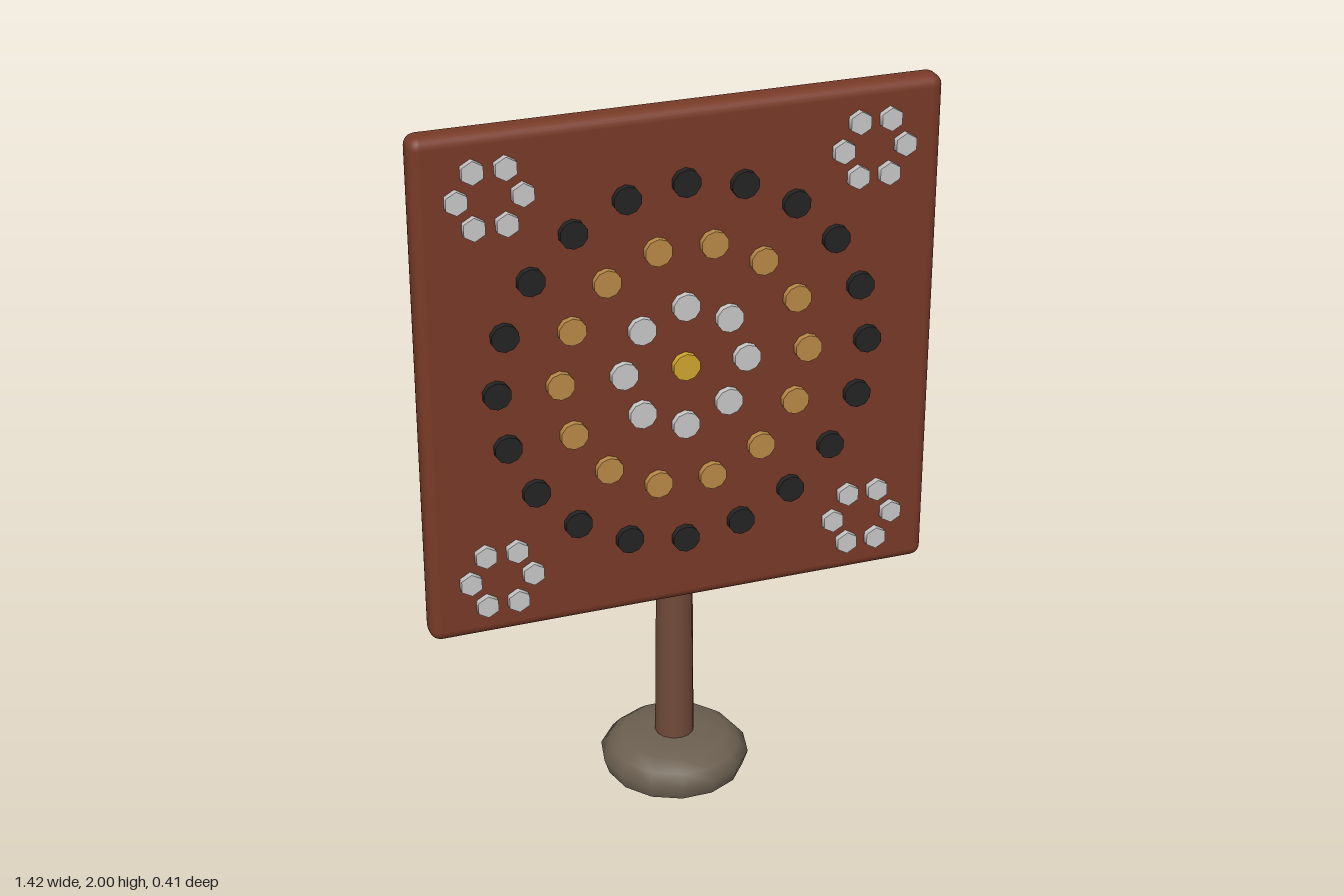
import * as THREE from 'three';
import { RoundedBoxGeometry } from 'three/addons/geometries/RoundedBoxGeometry.js';

const material = (name, color) => {
  const m = new THREE.MeshStandardMaterial({ color });
  m.name = name;
  return m;
};

export function createModel() {
  const model = new THREE.Group();
  model.name = 'studdedBoardOnStand';

  const redWood = material('redWood', 0x783a27);
  const brownWood = material('brownWood', 0x704a39);
  const stone = material('stone', 0x6b5f50);
  const gold = material('gold', 0xd0a52e);
  const silver = material('silver', 0xc8c8c8);
  const bronze = material('bronze', 0xb98846);
  const black = material('black', 0x242424);

  const add = (name, geometry, mat, x = 0, y = 0, z = 0, parent = model) => {
    const mesh = new THREE.Mesh(geometry, mat);
    mesh.name = name;
    mesh.position.set(x, y, z);
    parent.add(mesh);
    return mesh;
  };

  // Fourteen-sided foot with a domed shoulder and a flat underside
  const profile = [[0.195, 0], [0.21, 0.045], [0.185, 0.075], [0.15, 0.102], [0.08, 0.109], [0, 0.11]]
    .map(([r, y]) => new THREE.Vector2(r, y));
  add('foot', new THREE.LatheGeometry(profile, 14, Math.PI / 2), stone);
  const underside = new THREE.CircleGeometry(0.195, 14).rotateX(Math.PI / 2);
  add('footUnderside', underside, stone);

  // Tapered post and the ball on top of it
  add('post', new THREE.CylinderGeometry(0.045, 0.055, 1.2, 14), brownWood, 0, 0.7, 0);
  add('ball', new THREE.SphereGeometry(0.073, 20, 14), gold, 0, 1.343, 0);

  // Square board in front of the post
  const centreY = 1.29;
  add('board', new RoundedBoxGeometry(1.42, 1.42, 0.083, 3, 0.03), redWood, 0, centreY, 0.0415);

  // Flat studs on the face of the board
  const stud = (radius, sides) =>
    new THREE.CylinderGeometry(radius, radius, 0.03, sides).rotateX(Math.PI / 2);
  const roundStud = stud(0.038, 10);
  const hexStud = stud(0.032, 6);
  const studZ = 0.086;

  const ring = (name, geometry, mat, count, radius, start = 0, x = 0, y = centreY) => {
    const group = new THREE.Group();
    group.name = name;
    group.position.set(x, y, studZ);
    for (let i = 0; i < count; i++) {
      const a = start + (i / count) * Math.PI * 2;
      add('stud', geometry, mat, Math.cos(a) * radius, Math.sin(a) * radius, 0, group);
    }
    model.add(group);
  };

  add('centreStud', roundStud, gold, 0, centreY, studZ);
  ring('innerRing', roundStud, silver, 8, 0.17);
  ring('middleRing', roundStud, bronze, 14, 0.343);
  ring('outerRing', roundStud, black, 20, 0.513);

  // Small six-stud rosettes in the corners
  for (const sx of [-1, 1])
    for (const sy of [-1, 1])
      ring('cornerRosette', hexStud, silver, 6, 0.086, 0, sx * 0.515, centreY + sy * 0.54);

  return model;
}
